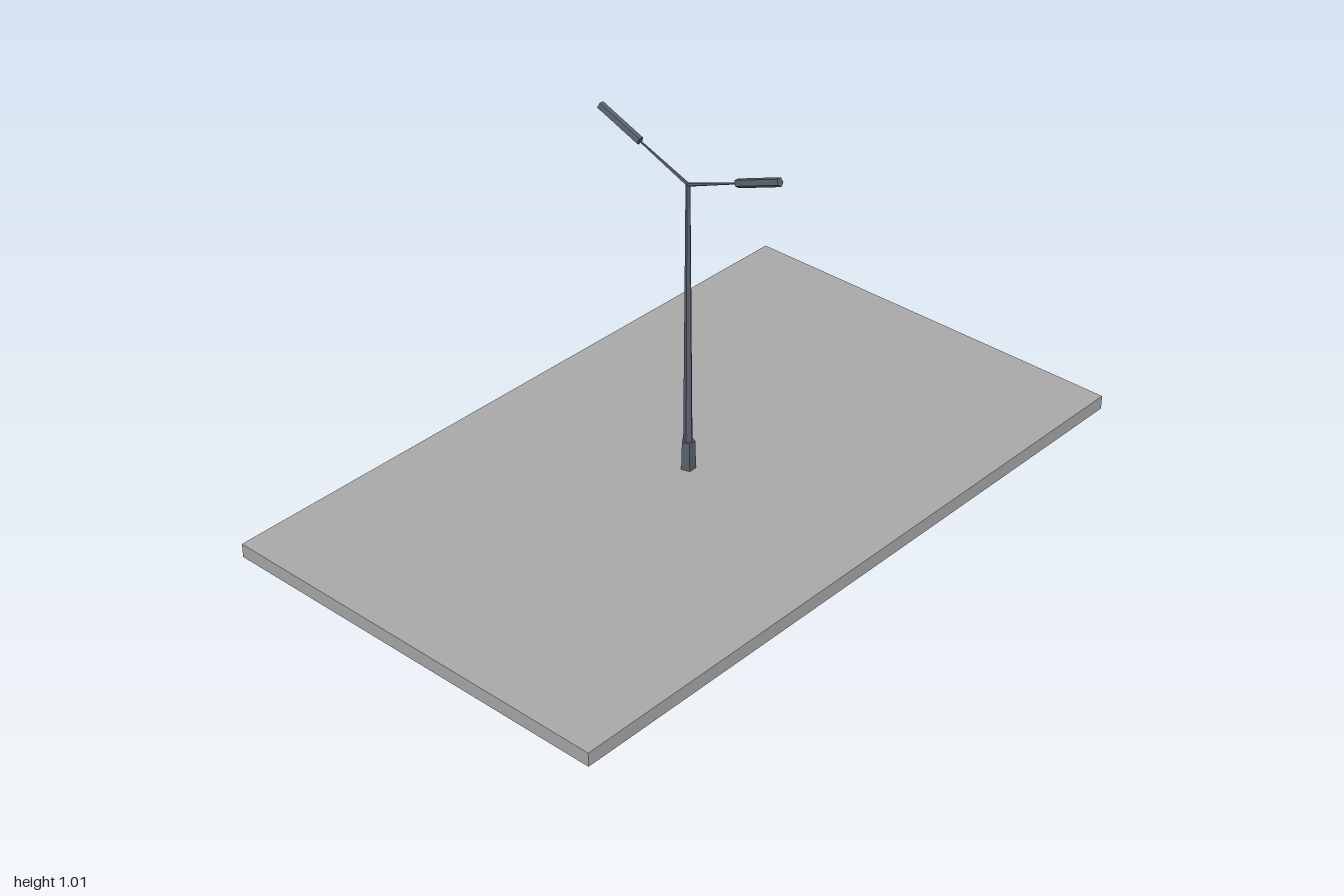
import * as THREE from 'three';

export function createModel() {
  const model = new THREE.Group();
  const concrete = new THREE.MeshStandardMaterial({ color: 0xaaaaaa });
  concrete.name = 'concrete grey';
  const metal = new THREE.MeshStandardMaterial({ color: 0x5a616c });
  metal.name = 'slate metal';

  const add = (parent, name, geometry, material) => {
    const mesh = new THREE.Mesh(geometry, material);
    mesh.name = name;
    parent.add(mesh);
    return mesh;
  };

  // Five-sided tapered bar along y from y0 to y1, one corner at angle turn (0 is +z, PI/2 is +x)
  const bar = (rTop, rBottom, y0, y1, turn) => {
    const g = new THREE.CylinderGeometry(rTop, rBottom, y1 - y0, 5, 1, false, turn).toNonIndexed();
    g.computeVertexNormals();
    return g.translate(0, (y0 + y1) / 2, 0);
  };

  // Pavement slab
  add(model, 'slab', new THREE.BoxGeometry(1.2, 0.04, 2).translate(0, 0.02, 0), concrete);

  // Foot and tapered pole, with opposite facing corners
  add(model, 'poleFoot', bar(0.0185, 0.021, 0.04, 0.125, -Math.PI / 2), metal);
  add(model, 'pole', bar(0.0065, 0.0135, 0.04, 0.882, Math.PI / 2), metal);

  // Two arms rising outwards, each with a long lamp head
  const tilt = THREE.MathUtils.degToRad(21.6);
  for (const [side, turn] of [['left', 0], ['right', Math.PI]]) {
    const holder = new THREE.Group();
    holder.name = side + 'Lamp';
    holder.position.y = 0.879;
    holder.rotation.y = turn;
    const tilted = new THREE.Group();
    tilted.name = side + 'LampBranch';
    tilted.rotation.z = tilt - Math.PI / 2; // local y runs outwards, local -x points up
    holder.add(tilted);
    add(tilted, side + 'Arm', bar(0.0025, 0.005, 0, 0.18, Math.PI / 2), metal);
    const head = add(tilted, side + 'LampHead', bar(0.0125, 0.0125, 0.172, 0.317, Math.PI / 2), metal);
    head.scale.z = 0.85;
    model.add(holder);
  }
  return model;
}
